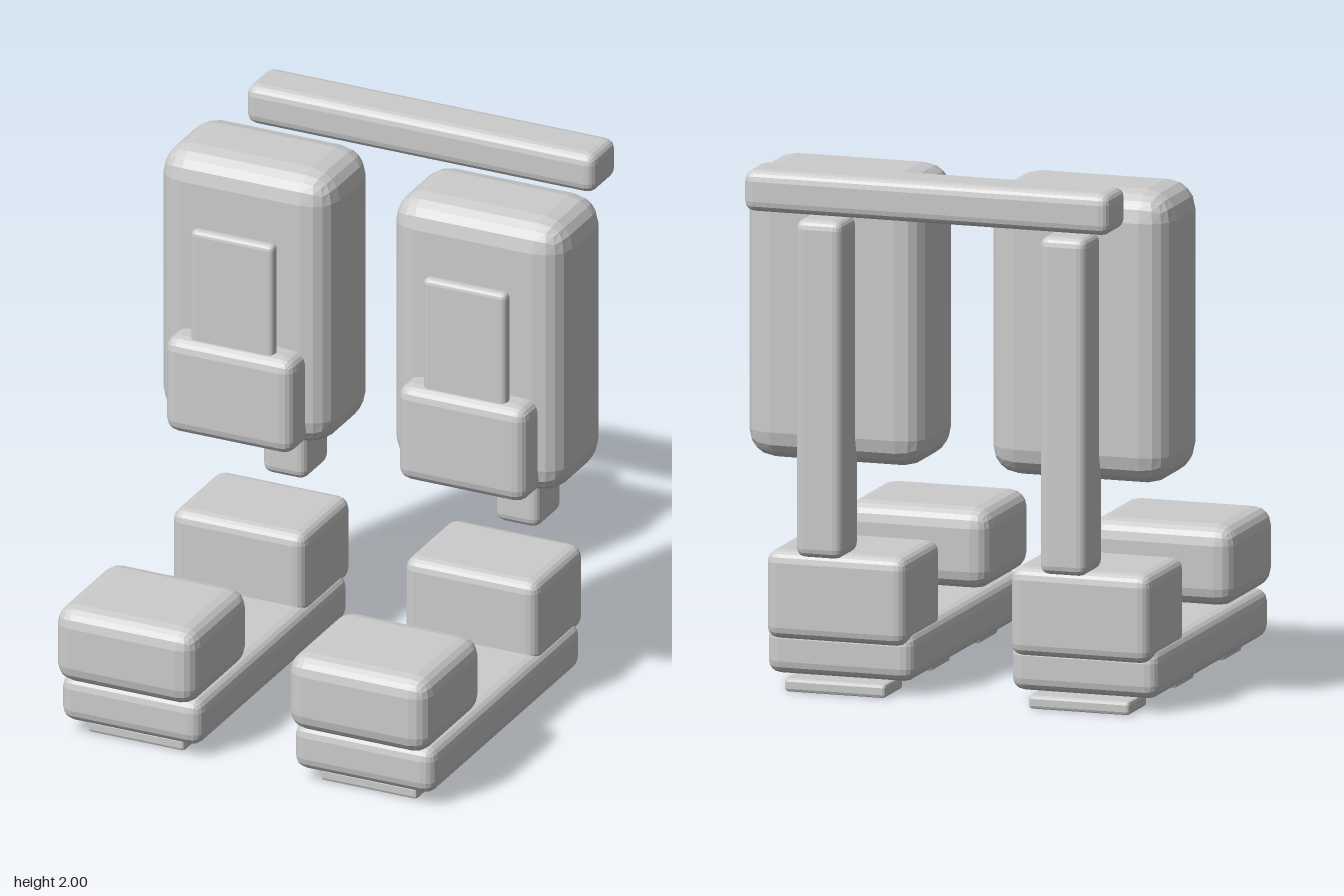
import * as THREE from 'three';
import { RoundedBoxGeometry } from 'three/addons/geometries/RoundedBoxGeometry.js';

const grey = new THREE.MeshStandardMaterial({ color: 0xcccccc });
grey.name = 'plain grey';

// Faceted bevelled block given by its extents along each axis
function block(name, [x0, x1], [y0, y1], [z0, z1], bevel, segments = 2) {
  const geometry = new RoundedBoxGeometry(x1 - x0, y1 - y0, z1 - z0, segments, bevel);
  geometry.computeVertexNormals(); // unshared vertices give flat facets
  const mesh = new THREE.Mesh(geometry, grey);
  mesh.name = name;
  mesh.position.set((x0 + x1) / 2, (y0 + y1) / 2, (z0 + z1) / 2);
  return mesh;
}

// Extents centred on zero
const wide = (w) => [-w / 2, w / 2];

// One hanging pack with its post, pouch and panel
function createPack() {
  const pack = new THREE.Group();
  pack.add(
    block('packBody', wide(0.7), [0.855, 1.945], [-0.54, -0.13], 0.11),
    block('packPouch', wide(0.52), [0.87, 1.25], [-0.22, -0.02], 0.05),
    block('packPanel', wide(0.335), [1.05, 1.685], [-0.105, -0.055], 0.02),
    block('backPost', wide(0.18), [0.54, 1.795], [-0.695, -0.49], 0.035)
  );
  return pack;
}

// One boot: sole, toe, heel and three ground pads
function createBoot() {
  const boot = new THREE.Group();
  boot.add(
    block('bootSole', wide(0.57), [0.05, 0.235], [-0.46, 0.795], 0.05),
    block('bootToe', wide(0.57), [0.23, 0.53], [0.365, 0.855], 0.07),
    block('bootHeel', wide(0.54), [0.19, 0.52], [-0.51, -0.1], 0.045)
  );
  for (const z of [0.64, 0.115, -0.41]) {
    boot.add(block('solePad', wide(0.39), [0, 0.05], [z - 0.1, z + 0.1], 0.012, 1));
  }
  return boot;
}

export function createModel() {
  const model = new THREE.Group();
  model.name = 'packAndBoots';

  for (const [side, x] of [['left', 0.47], ['right', -0.47]]) {
    const pack = createPack();
    pack.name = side + 'Pack';
    pack.position.x = x;
    const boot = createBoot();
    boot.name = side + 'Boot';
    boot.position.x = x;
    model.add(pack, boot);
  }

  // Cross rail behind the packs
  model.add(block('crossRail', wide(1.41), [1.845, 2], [-0.855, -0.65], 0.04));
  return model;
}
